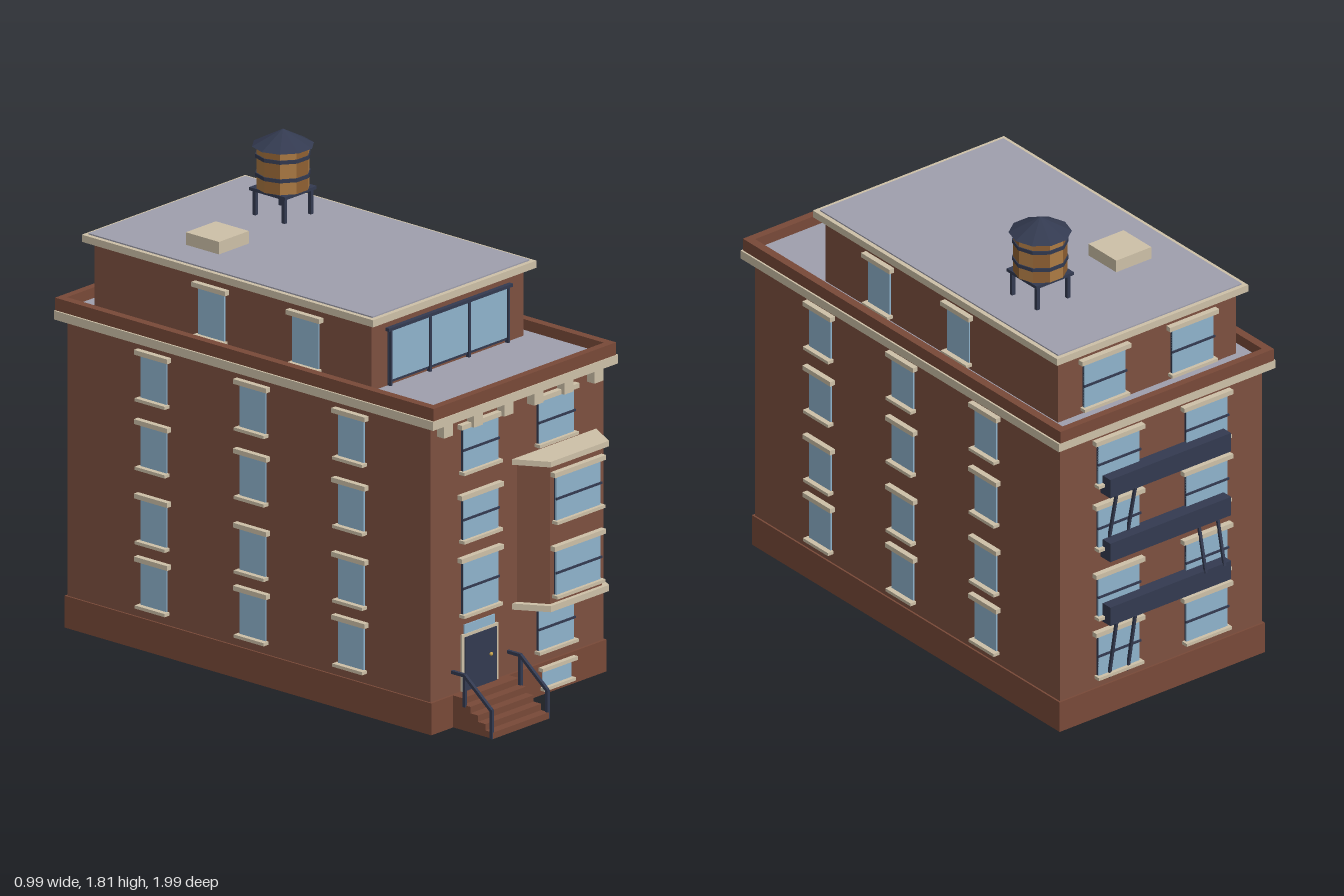
import * as THREE from 'three';

const mat = (name, color) => Object.assign(new THREE.MeshStandardMaterial({ color }), { name });

export function createModel() {
  const brick = mat('brick', 0x7d5040);
  const darkBrick = mat('dark brick', 0x784938);
  const stone = mat('cream stone', 0xcdc0a7);
  const glass = mat('window glass', 0x8fb3cc);
  const iron = mat('dark iron', 0x333a50);
  const roofGrey = mat('roof grey', 0x9f9fad);
  const wood = mat('light wood', 0xac7a43);
  const woodDark = mat('dark wood', 0x8f6032);
  const brass = mat('brass', 0xc9a54e);

  const model = new THREE.Group();
  model.name = 'townhouse';

  const group = (name, parent = model) => {
    const g = new THREE.Group();
    g.name = name;
    parent.add(g);
    return g;
  };
  const add = (parent, name, geometry, material) => {
    const m = new THREE.Mesh(geometry, material);
    m.name = name;
    parent.add(m);
    return m;
  };
  // Box given by its extents on each axis
  const box = (parent, name, material, [x0, x1], [y0, y1], [z0, z1]) => {
    const m = add(parent, name, new THREE.BoxGeometry(x1 - x0, y1 - y0, z1 - z0), material);
    m.position.set((x0 + x1) / 2, (y0 + y1) / 2, (z0 + z1) / 2);
    return m;
  };
  // Square bar between two points
  const bar = (parent, name, a, b, t = 0.012) => {
    const p = new THREE.Vector3(...a), q = new THREE.Vector3(...b);
    const m = add(parent, name, new THREE.BoxGeometry(t, t, p.distanceTo(q)), iron);
    m.position.copy(p).lerp(q, 0.5);
    m.lookAt(q);
    return m;
  };

  // Masses of the building
  box(model, 'base', darkBrick, [-0.467, 0.467], [0, 0.12], [-0.942, 0.81]);
  box(model, 'mainWalls', brick, [-0.46, 0.46], [0.12, 1.165], [-0.935, 0.8]);
  box(model, 'cornice', stone, [-0.493, 0.493], [1.16, 1.193], [-0.97, 0.842]);
  box(model, 'terraceRoof', roofGrey, [-0.456, 0.456], [1.19, 1.2], [-0.946, 0.81]);
  const parapet = group('parapet');
  for (const s of [-1, 1]) {
    const xs = s < 0 ? [-0.486, -0.454] : [0.454, 0.486];
    box(parapet, 'parapetSide', darkBrick, xs, [1.193, 1.24], [-0.97, 0.838]);
  }
  box(parapet, 'parapetFront', darkBrick, [-0.454, 0.454], [1.193, 1.24], [0.808, 0.838]);
  box(parapet, 'parapetBack', darkBrick, [-0.454, 0.454], [1.193, 1.24], [-0.97, -0.942]);
  for (let i = 0; i < 6; i++) {
    const x = -0.402 + i * 0.16;
    box(model, 'corniceBracket', stone, [x - 0.024, x + 0.024], [1.112, 1.162], [0.795, 0.835]);
  }

  // Penthouse and its roof
  box(model, 'penthouseWalls', brick, [-0.405, 0.405], [1.2, 1.456], [-0.855, 0.468]);
  box(model, 'penthouseCornice', stone, [-0.435, 0.435], [1.456, 1.483], [-0.888, 0.503]);
  box(model, 'penthouseRoof', roofGrey, [-0.418, 0.418], [1.482, 1.488], [-0.872, 0.485]);
  box(model, 'roofHatch', stone, [-0.28, -0.12], [1.487, 1.535], [-0.53, -0.372]);

  // Window facing +z, with its wall plane at z = 0, turned into place
  const addWindow = (x, y, z, w, h, turn = 0, sash = true, sill = true) => {
    const g = group('window');
    g.position.set(x, y, z);
    g.rotation.y = turn;
    const d = sash ? 0.01 : 0.004;
    if (sash) {
      box(g, 'windowFrame', iron, [-w / 2, w / 2], [0, h], [-0.005, d]);
      box(g, 'meetingRail', iron, [-w / 2 - 0.004, w / 2 + 0.004], [h / 2 - 0.004, h / 2 + 0.004], [d, d + 0.007]);
    }
    box(g, 'pane', glass, [-w / 2, w / 2], [0, h], [d - 0.005, d + 0.002]);
    box(g, 'lintel', stone, [-w / 2 - 0.018, w / 2 + 0.018], [h, h + 0.018], [-0.005, 0.022]);
    if (sill) box(g, 'sill', stone, [-w / 2 - 0.01, w / 2 + 0.01], [-0.01, 0.002], [-0.005, 0.026]);
    return g;
  };

  // Each floor: sill height and pane height
  const floors = [[0.168, 0.165], [0.41, 0.16], [0.69, 0.16], [0.948, 0.163]];
  for (const [y, h] of floors) {
    for (const s of [-1, 1]) {
      for (const z of [0.425, -0.045, -0.518]) addWindow(s * 0.46, y, z, 0.123, h, s * Math.PI / 2, false);
      addWindow(s * 0.2, y, -0.935, 0.187, h, Math.PI);
    }
  }
  for (const s of [-1, 1]) {
    for (const z of [0.158, -0.292]) addWindow(s * 0.405, 1.225, z, 0.125, 0.18, s * Math.PI / 2, false);
    addWindow(s * 0.2, 1.225, -0.855, 0.187, 0.18, Math.PI);
  }

  // Front windows
  addWindow(-0.205, 0.41, 0.8, 0.187, 0.198);
  addWindow(-0.205, 0.69, 0.8, 0.187, 0.155);
  addWindow(-0.205, 0.948, 0.8, 0.187, 0.163);
  addWindow(0.198, 0.948, 0.8, 0.187, 0.163);
  addWindow(0.198, 0.168, 0.8, 0.187, 0.165);
  const cellar = group('cellarWindow');
  box(cellar, 'cellarPane', glass, [0.122, 0.275], [0.03, 0.095], [0.807, 0.814]);
  box(cellar, 'cellarLintel', stone, [0.105, 0.292], [0.093, 0.107], [0.805, 0.83]);
  box(cellar, 'cellarSill', stone, [0.115, 0.282], [0.018, 0.03], [0.805, 0.83]);

  // Penthouse glazing
  const glazing = group('penthouseGlazing');
  box(glazing, 'glazingFrame', iron, [-0.32, 0.32], [1.21, 1.41], [0.46, 0.474]);
  box(glazing, 'glazingPane', glass, [-0.31, 0.31], [1.22, 1.41], [0.47, 0.477]);
  box(glazing, 'glazingHead', iron, [-0.33, 0.33], [1.408, 1.42], [0.46, 0.486]);
  for (const x of [-0.313, -0.104, 0.104, 0.313]) {
    box(glazing, 'mullion', iron, [x - 0.005, x + 0.005], [1.2, 1.41], [0.465, 0.483]);
  }

  // Bay: plan outlines extruded upward
  const prism = (name, material, plan, y0, y1) => {
    const shape = new THREE.Shape(plan.map(([x, z]) => new THREE.Vector2(x, -z)));
    const geo = new THREE.ExtrudeGeometry(shape, { depth: y1 - y0, bevelEnabled: false });
    geo.rotateX(-Math.PI / 2);
    return add(bay, name, geo, material).position.setY(y0);
  };
  const bay = group('bay');
  const slab = [[-0.025, 0.79], [-0.025, 0.8], [0.045, 0.922], [0.355, 0.922], [0.422, 0.8], [0.422, 0.79]];
  prism('bayWalls', brick, [[0.0, 0.79], [0.0, 0.8], [0.06, 0.905], [0.337, 0.905], [0.392, 0.8], [0.392, 0.79]], 0.375, 0.905);
  prism('bayCap', stone, slab, 0.902, 0.923);
  prism('bayFooting', stone, slab, 0.357, 0.38);
  addWindow(0.198, 0.41, 0.905, 0.235, 0.17);
  addWindow(0.198, 0.69, 0.905, 0.235, 0.168);

  // Entrance
  const entrance = group('entrance');
  box(entrance, 'doorSurround', stone, [-0.3, -0.107], [0.12, 0.333], [0.79, 0.808]);
  box(entrance, 'door', iron, [-0.288, -0.118], [0.12, 0.322], [0.805, 0.812]);
  box(entrance, 'transomPane', glass, [-0.284, -0.122], [0.333, 0.367], [0.798, 0.805]);
  const knob = add(entrance, 'doorKnob', new THREE.SphereGeometry(0.007, 10, 8), brass);
  knob.position.set(-0.153, 0.227, 0.815);

  // Stoop steps and railings
  const stoop = group('stoop');
  for (let i = 0; i < 5; i++) {
    box(stoop, 'step', darkBrick, [-0.35, -0.053], [i * 0.024, (i + 1) * 0.024], [0.8, 1 - i * 0.036]);
  }
  for (const x of [-0.35, -0.053]) {
    bar(stoop, 'handrail', [x, 0.105, 0.994], [x, 0.208, 0.865]);
    bar(stoop, 'handrailTop', [x, 0.208, 0.868], [x, 0.208, 0.805]);
    bar(stoop, 'railPost', [x, 0, 0.994], [x, 0.108, 0.994]);
    bar(stoop, 'railPost', [x, 0.09, 0.865], [x, 0.21, 0.865]);
  }

  // Fire escape: balconies and alternating ladders
  const escape = group('fireEscape');
  for (const y of [0.385, 0.645, 0.905]) {
    box(escape, 'balcony', iron, [-0.275, 0.275], [y, y + 0.075], [-0.99, -0.93]);
  }
  [[0.15, 0.39, 1], [0.45, 0.65, -1], [0.71, 0.91, 1]].forEach(([y0, y1, s]) => {
    const [zLow, zHigh] = s > 0 ? [-0.945, -0.988] : [-0.99, -0.945];
    for (const x of [0.16, 0.245]) bar(escape, 'ladderRail', [s * x, y0, zLow], [s * x, y1, zHigh], 0.01);
  });

  // Water tank on legs, ten sides with alternating staves
  const tank = group('waterTank');
  tank.position.set(0.198, 1.487, -0.495);
  for (const x of [-0.07, 0.07]) {
    for (const z of [-0.07, 0.07]) {
      box(tank, 'tankLeg', iron, [x - 0.007, x + 0.007], [0, 0.1], [z - 0.007, z + 0.007]);
    }
  }
  box(tank, 'tankPlatform', iron, [-0.085, 0.085], [0.093, 0.105], [-0.085, 0.085]);
  const sides = 10, step = Math.PI * 2 / sides;
  for (let i = 0; i < sides; i++) {
    const geo = new THREE.CylinderGeometry(0.097, 0.097, 0.16, 1, 1, true, Math.PI / 2 + i * step, step);
    geo.computeVertexNormals();
    add(tank, 'stave', geo, i % 2 ? woodDark : wood).position.y = 0.185;
  }
  const ring = (name, r0, r1, h, y, material) => {
    const geo = new THREE.CylinderGeometry(r0, r1, h, sides, 1, false, Math.PI / 2).toNonIndexed();
    geo.computeVertexNormals();
    add(tank, name, geo, material).position.y = y;
  };
  ring('tankFloor', 0.096, 0.096, 0.006, 0.108, woodDark);
  for (const y of [0.158, 0.228]) ring('tankHoop', 0.101, 0.101, 0.014, y, iron);
  ring('tankRoof', 0, 0.113, 0.06, 0.293, iron);

  return model;
}
